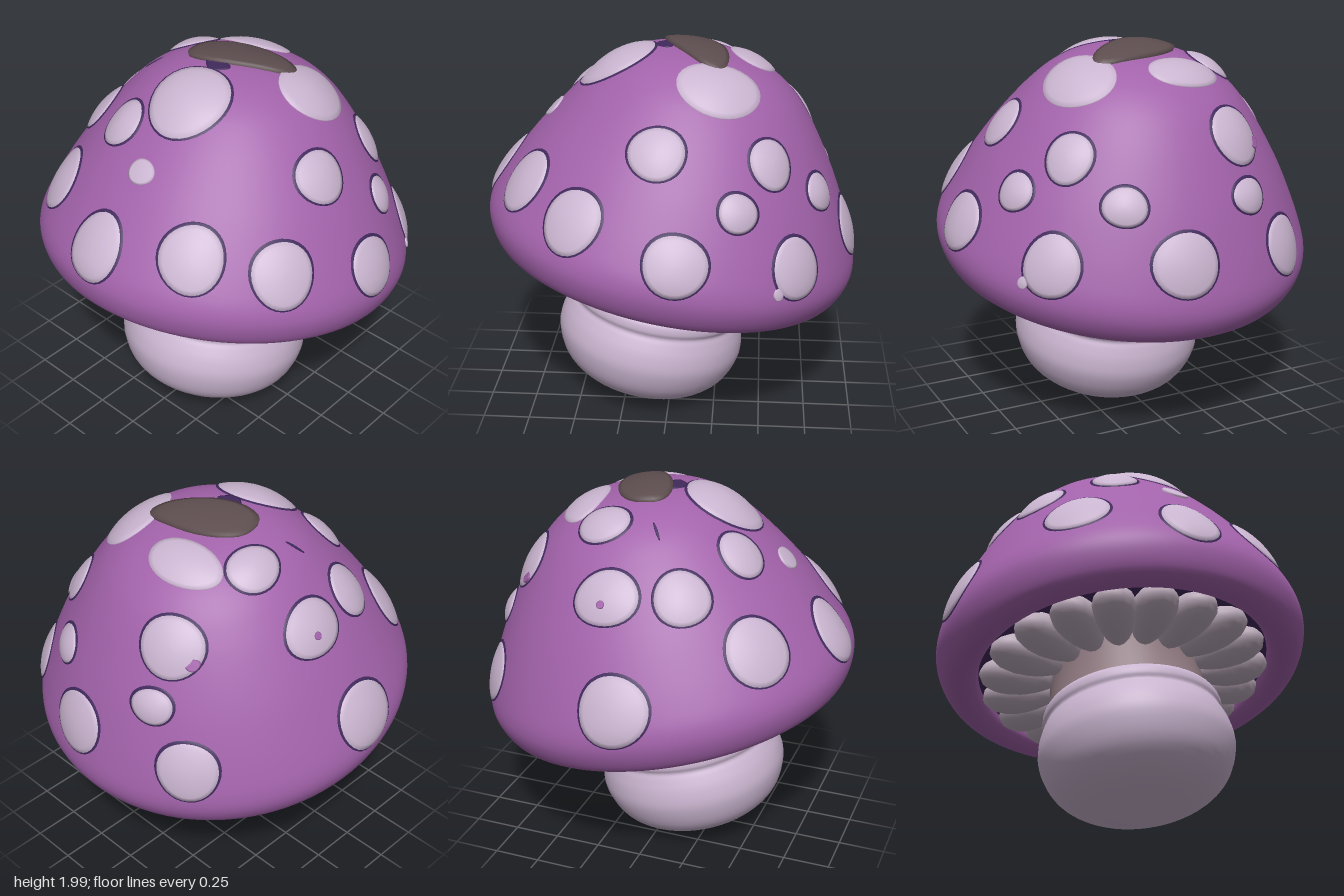
import * as THREE from 'three';

const TILT = new THREE.Euler(-0.03, 0, -0.19);
const PIVOT_Y = 0.81;
const CAP_OFFSET = new THREE.Vector3(-0.024, 0, 0.008);

function material(name, color) {
  const m = new THREE.MeshStandardMaterial({ color });
  m.name = name;
  return m;
}

const spline = (pts, n) => new THREE.SplineCurve(pts.map(p => new THREE.Vector2(...p))).getPoints(n);

// Cap outline from the inner rim, round the lip and up to the crown
const capProfile = spline([
  [0.78, 0.07], [0.8, 0.0], [0.87, -0.03], [0.95, 0.0], [1.0, 0.1], [1.0, 0.2], [0.95, 0.33],
  [0.87, 0.49], [0.79, 0.63], [0.69, 0.78], [0.595, 0.905], [0.49, 1.015], [0.36, 1.1], [0.2, 1.15], [0, 1.165],
], 70);
capProfile[capProfile.length - 1].x = 0;

// Point on the cap in a given direction from its inner centre, raised by lift
const CENTRE = new THREE.Vector3(0, 0.3, 0);
const angleOf = p => Math.atan2(p.y - CENTRE.y, p.x);
function onCap(dir, lift = 0) {
  const d = dir.clone().normalize();
  const phi = Math.atan2(d.y, Math.hypot(d.x, d.z));
  let dist = 1;
  for (let i = capProfile.length - 1; i > 0; i--) {
    const hi = angleOf(capProfile[i]), lo = angleOf(capProfile[i - 1]);
    if (phi <= hi + 1e-6 && phi >= lo) {
      const p = capProfile[i - 1].clone().lerp(capProfile[i], (phi - lo) / (hi - lo));
      dist = Math.hypot(p.x, p.y - CENTRE.y);
      break;
    }
  }
  return d.multiplyScalar(dist + lift).add(CENTRE);
}

// Domed oval patch hugging the cap; a runs around the cap, b up it, spin turns it.
// The last ring is a short skirt that sinks into the cap.
const untilt = new THREE.Quaternion().setFromEuler(TILT).invert();
function patch([x, y, z, a, b, spin = 0], lift, dome, wobble, phase = 0) {
  const dir = new THREE.Vector3(x, y - PIVOT_Y, z).applyQuaternion(untilt).sub(CAP_OFFSET).sub(CENTRE);
  const centre = onCap(dir).sub(CENTRE);
  const n = centre.clone().normalize();
  const t1 = new THREE.Vector3(0, 1, 0).cross(n).normalize().applyAxisAngle(n, spin);
  const t2 = n.clone().cross(t1);
  const RINGS = 7, SEG = 32, pos = [], idx = [];
  for (let r = 0; r <= RINGS + 1; r++) {
    for (let s = 0; s < SEG; s++) {
      const t = s / SEG * Math.PI * 2, k = Math.min(r / RINGS, 1);
      const w = k * (1 + wobble * Math.sin(3 * t + phase));
      const v = centre.clone().addScaledVector(t1, Math.cos(t) * a * w).addScaledVector(t2, Math.sin(t) * b * w);
      pos.push(...onCap(v, r > RINGS ? -0.006 : lift + dome * (1 - k * k)).toArray());
      if (r <= RINGS) {
        const i = r * SEG + s, j = r * SEG + (s + 1) % SEG;
        idx.push(i, i + SEG, j + SEG);
        if (r > 0) idx.push(i, j + SEG, j);
      }
    }
  }
  const g = new THREE.BufferGeometry();
  g.setAttribute('position', new THREE.Float32BufferAttribute(pos, 3));
  g.setIndex(idx);
  g.computeVertexNormals();
  return g;
}

// Spots: x, y, z, half-width around the cap, half-height up the cap, spin
const plainSpots = [
  [0.25, 1.82, 0.355, 0.222, 0.185], [0.405, 1.85, -0.14, 0.21, 0.128, -0.35],
  [-0.63, 1.65, 0.03, 0.075, 0.065], [0.55, 0.96, 0.78, 0.028, 0.028],
];
const borderedSpots = [
  [-0.275, 1.87, 0.03, 0.212, 0.225], [0.2, 1.83, -0.385, 0.14, 0.12],
  [-0.46, 1.73, -0.25, 0.12, 0.13], [-0.28, 1.61, -0.6, 0.14, 0.14],
  [0.08, 1.58, -0.67, 0.17, 0.14], [-0.03, 1.61, 0.67, 0.142, 0.135],
  [0.53, 1.53, 0.55, 0.12, 0.13], [0.65, 1.57, -0.3, 0.165, 0.155],
  [-0.05, 1.13, -0.92, 0.18, 0.165], [-0.67, 1.38, -0.56, 0.17, 0.165],
  [-0.87, 1.31, -0.03, 0.15, 0.17], [-0.7, 1.38, 0.44, 0.16, 0.16],
  [-0.43, 1.3, 0.78, 0.157, 0.155], [0.08, 1.15, 0.92, 0.158, 0.14],
  [0.37, 1.35, 0.76, 0.1, 0.095], [0.66, 1.05, 0.7, 0.145, 0.145],
  [0.76, 1.32, 0.36, 0.11, 0.095], [0.95, 1.05, 0.12, 0.17, 0.15],
  [0.79, 1.3, -0.3, 0.11, 0.088], [0.79, 1.02, -0.53, 0.158, 0.145],
];

export function createModel() {
  const purple = material('cap purple', 0xa262aa);
  const pale = material('pale lilac', 0xcab5d0);
  const dark = material('dark violet', 0x40295c);
  const brown = material('crown brown', 0x5d4d4f);
  const neckColor = material('neck taupe', 0x937d84);
  const gillColor = material('gill grey lilac', 0xbcabbb);

  const model = new THREE.Group();
  model.name = 'mushroom';
  const body = new THREE.Group();
  body.name = 'tiltedBody';
  body.position.y = PIVOT_Y;
  body.rotation.copy(TILT);
  model.add(body);

  const add = (parent, name, geometry, mat) => {
    const m = new THREE.Mesh(geometry, mat);
    m.name = name;
    parent.add(m);
    return m;
  };

  // Cap and its details
  const cap = new THREE.Group();
  cap.name = 'cap';
  cap.position.copy(CAP_OFFSET);
  body.add(cap);
  add(cap, 'capShell', new THREE.LatheGeometry(capProfile, 96), purple);
  const under = [[0.25, 0.1], [0.6, 0.09], [0.8, 0.04]].map(p => new THREE.Vector2(...p));
  add(cap, 'capUnderside', new THREE.LatheGeometry(under, 64), dark);

  plainSpots.forEach((s, i) => add(cap, 'spot', patch(s, 0.008, s[3] < 0.1 ? 0.004 : 0.016, 0.02, i), pale));
  borderedSpots.forEach((s, i) => {
    const [x, y, z, a, b] = s;
    add(cap, 'spotBorder', patch([x, y + 0.004, z, a + 0.014, b + 0.012], 0.004, 0, 0.02, i), dark);
    add(cap, 'spot', patch(s, 0.008, 0.022, 0.02, i), pale);
  });

  // Bare patch at the crown, with dark cracks beside it
  add(cap, 'crownPatch', patch([0.14, 1.96, -0.01, 0.29, 0.138, 0.15], 0.018, 0.008, 0.08, 2), brown);
  add(cap, 'crownCrack', patch([-0.03, 1.94, -0.01, 0.07, 0.045], 0.005, 0, 0.1), dark);
  add(cap, 'smallCrack', patch([-0.07, 1.82, -0.39, 0.007, 0.055], 0.004, 0, 0), dark);

  // Small purple flaws in two spots
  add(cap, 'spotHole', patch([0.09, 1.555, -0.7, 0.02, 0.02], 0.031, 0, 0), purple);
  add(cap, 'spotNotch', patch([0.66, 1.54, -0.435, 0.04, 0.03], 0.018, 0, 0.08), purple);

  // Ring of plump gills under the cap, narrower towards the stem
  const gill = new THREE.SphereGeometry(1, 16, 12);
  const p = gill.attributes.position;
  for (let i = 0; i < p.count; i++) p.setZ(i, p.getZ(i) * (1 + 0.35 * p.getX(i)));
  gill.computeVertexNormals();
  const GILLS = 19;
  for (let i = 0; i < GILLS; i++) {
    const t = i / GILLS * Math.PI * 2;
    const g = add(cap, 'gill', gill, gillColor);
    g.position.set(Math.cos(t) * 0.56, 0.01, Math.sin(t) * 0.56);
    g.rotation.y = -t;
    g.scale.set(0.225, 0.105, 0.112);
  }

  // Stem: slim neck rising from a bulb with a rolled lip
  const stem = new THREE.Group();
  stem.name = 'stem';
  stem.position.set(-0.027, 0, 0.024);
  body.add(stem);
  const neckProfile = spline([[0.435, -0.26], [0.42, -0.17], [0.412, -0.05], [0.415, 0.12]], 12);
  const neck = add(stem, 'neck', new THREE.LatheGeometry(neckProfile, 48), neckColor);
  neck.position.set(0.015, 0, -0.005);
  const bulb = spline([
    [0, -0.785], [0.2, -0.782], [0.35, -0.74], [0.46, -0.65], [0.514, -0.52], [0.51, -0.42],
    [0.485, -0.345], [0.469, -0.31], [0.478, -0.28], [0.472, -0.24], [0.445, -0.213], [0.4, -0.215],
  ], 44);
  bulb[0].x = 0;
  add(stem, 'bulb', new THREE.LatheGeometry(bulb, 48), pale);

  return model;
}
